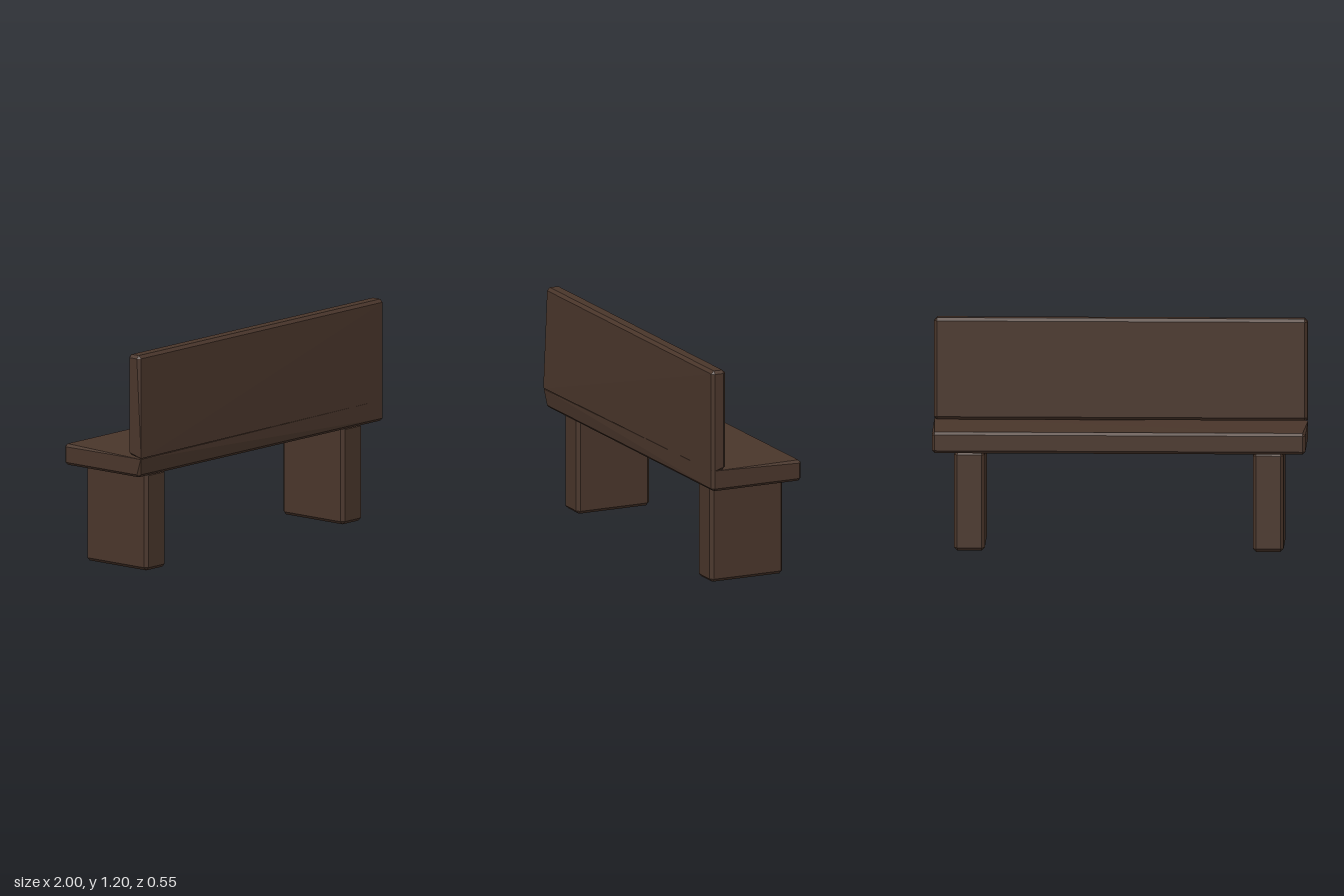
import * as THREE from 'three';
import { ConvexGeometry } from 'three/addons/geometries/ConvexGeometry.js';

const wood = new THREE.MeshStandardMaterial({ color: 0x4a362b, flatShading: true });

// Box between two corners with every edge chamfered; adjust(point) may bend the corners.
function chamferedBox(name, min, max, c, adjust = () => {}) {
  const points = [];
  for (let corner = 0; corner < 8; corner++) {
    for (let axis = 0; axis < 3; axis++) {
      const p = [0, 1, 2].map((i) => {
        const inset = i === axis ? 0 : c;
        return (corner >> i) & 1 ? max[i] - inset : min[i] + inset;
      });
      const v = new THREE.Vector3(...p);
      adjust(v);
      points.push(v);
    }
  }
  const mesh = new THREE.Mesh(new ConvexGeometry(points), wood);
  mesh.name = name;
  return mesh;
}

export function createModel() {
  const group = new THREE.Group();
  group.name = 'bench';
  const seam = 0.65;

  // Seat: its top edge under the backrest is sharp and warps outwards at one end
  group.add(chamferedBox('seat', [-1, 0.535, -0.275], [1, seam, 0.26], 0.015, (v) => {
    if (v.y < 0.62 || v.z < 0.2) return;
    v.y = seam;
    if (v.x < 0) {
      v.z = 0.272;
      v.y = 0.638;
    }
  }));

  // Backrest: flush with the seat, with the same warp at the lower corner
  group.add(chamferedBox('backrest', [-1, seam, 0.177], [1, 1.2, 0.26], 0.016, (v) => {
    if (v.y > 0.7 || v.z < 0.22) return;
    v.y = seam;
    if (v.x < 0) {
      v.z = 0.275;
      v.y = 0.643;
    }
  }));

  // Slab legs
  for (const [name, x] of [['rightLeg', -0.8], ['leftLeg', 0.8]]) {
    group.add(chamferedBox(name, [x - 0.082, 0, -0.224], [x + 0.082, 0.537, 0.21], 0.017));
  }
  return group;
}
